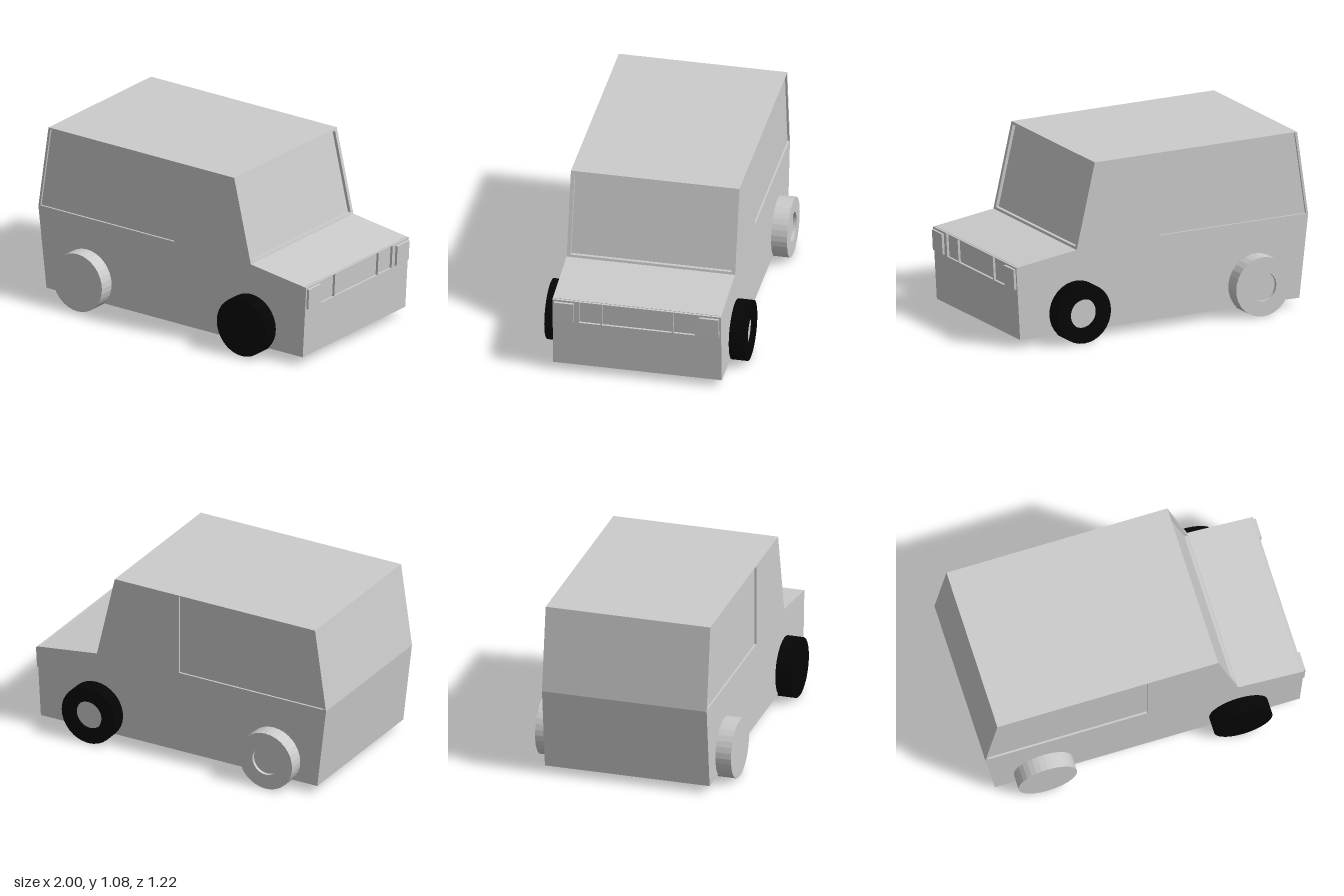
import * as THREE from 'three';

const grey = new THREE.MeshStandardMaterial({ color: 0xcccccc, flatShading: true });
const black = new THREE.MeshStandardMaterial({ color: 0x050505, flatShading: true });

const HALF = 0.513;      // half width of the body
const SIDE = 0.012;      // depth of the side window recesses
const SCREEN = 0.02;     // depth of the windscreen recess
const NOSE = 0.015;      // depth of the grille recesses

const toPoints = (list) => list.map(([x, y]) => new THREE.Vector2(x, y));
const rect = (x0, x1, y0, y1) => [[x0, y0], [x1, y0], [x1, y1], [x0, y1]];

function extrude(outline, holes, depth) {
  const shape = new THREE.Shape(toPoints(outline));
  holes.forEach((h) => shape.holes.push(new THREE.Path(toPoints(h))));
  return new THREE.ExtrudeGeometry(shape, { depth, bevelEnabled: false });
}

// Panel across the car, drawn in (width, height) and leaned along the line from a to b
function crossPanel(a, b, depth, holes) {
  const w = HALF - SIDE;
  const geo = extrude(rect(-w, w, a[1], b[1]), holes, depth);
  const p = geo.attributes.position;
  for (let i = 0; i < p.count; i++) {
    const u = p.getX(i), y = p.getY(i), d = p.getZ(i);
    const x = a[0] + (b[0] - a[0]) * (y - a[1]) / (b[1] - a[1]);
    p.setXYZ(i, x - depth + d, y, -u);
  }
  geo.computeVertexNormals();
  return geo;
}

export function createModel() {
  const car = new THREE.Group();
  car.name = 'car';
  const add = (name, geo, mat = grey, parent = car) => {
    const mesh = new THREE.Mesh(geo, mat);
    mesh.name = name;
    parent.add(mesh);
    return mesh;
  };

  // Main corners of the side profile
  const noseLow = [0.96, 0.05], noseTop = [0.986, 0.5];
  const cowl = [0.575, 0.555], roofFront = [0.452, 1.08];
  const rear = [[-0.925, 1.08], [-1, 0.56], [-0.94, 0.05]];

  // Inner body, set back behind the windscreen and nose panels
  const core = [
    [noseLow[0] - NOSE, noseLow[1]], [noseTop[0] - NOSE, noseTop[1] + 0.002], cowl,
    [cowl[0] - SCREEN, cowl[1]], [roofFront[0] - SCREEN, roofFront[1]], ...rear,
  ];
  const inner = HALF - SIDE;
  add('body', extrude(core, [], inner * 2)).position.z = -inner;

  // Side skins with the long rear window cut out
  const sideWindow = [[-0.985, 0.567], [0.01, 0.567], [0.01, 1.074], [-0.91, 1.074]];
  const profile = [noseLow, noseTop, cowl, roofFront, ...rear];
  add('leftSide', extrude(profile, [sideWindow], SIDE)).position.z = -HALF;
  add('rightSide', extrude(profile, [sideWindow], SIDE)).position.z = inner;

  // Windscreen frame and nose with grille openings
  add('windscreenFrame', crossPanel(cowl, roofFront, SCREEN, [rect(-0.49, 0.49, 0.57, 1.065)]));
  add('nose', crossPanel(noseLow, noseTop, NOSE, [
    rect(-0.352, -0.222, 0.352, 0.497),
    rect(-0.212, 0.212, 0.352, 0.497),
    rect(0.222, 0.352, 0.352, 0.497),
  ]));

  // Headlamps
  for (const s of [-1, 1]) {
    const lamp = add(s > 0 ? 'rightHeadlamp' : 'leftHeadlamp', new THREE.BoxGeometry(0.025, 0.127, 0.12));
    lamp.position.set(0.984, 0.424, s * 0.442);
    lamp.rotation.z = -0.055;
  }

  // Full-width wheel rollers, with a recessed hub at the -z end
  const R = 0.183, W = 0.61, hubR = 0.09, dip = 0.02;
  const tyre = new THREE.LatheGeometry(
    toPoints([[0, -W], [R, -W], [R, W], [hubR, W], [hubR, W - dip]]), 32).rotateX(-Math.PI / 2);
  const hub = new THREE.CircleGeometry(hubR, 32).rotateY(Math.PI).translate(0, 0, dip - W);
  for (const [name, x, mat] of [['frontWheels', 0.578, black], ['rearWheels', -0.64, grey]]) {
    const wheels = new THREE.Group();
    wheels.name = name;
    wheels.position.set(x, R, 0);
    add('tyre', tyre, mat, wheels);
    add('hub', hub, grey, wheels);
    car.add(wheels);
  }

  return car;
}
